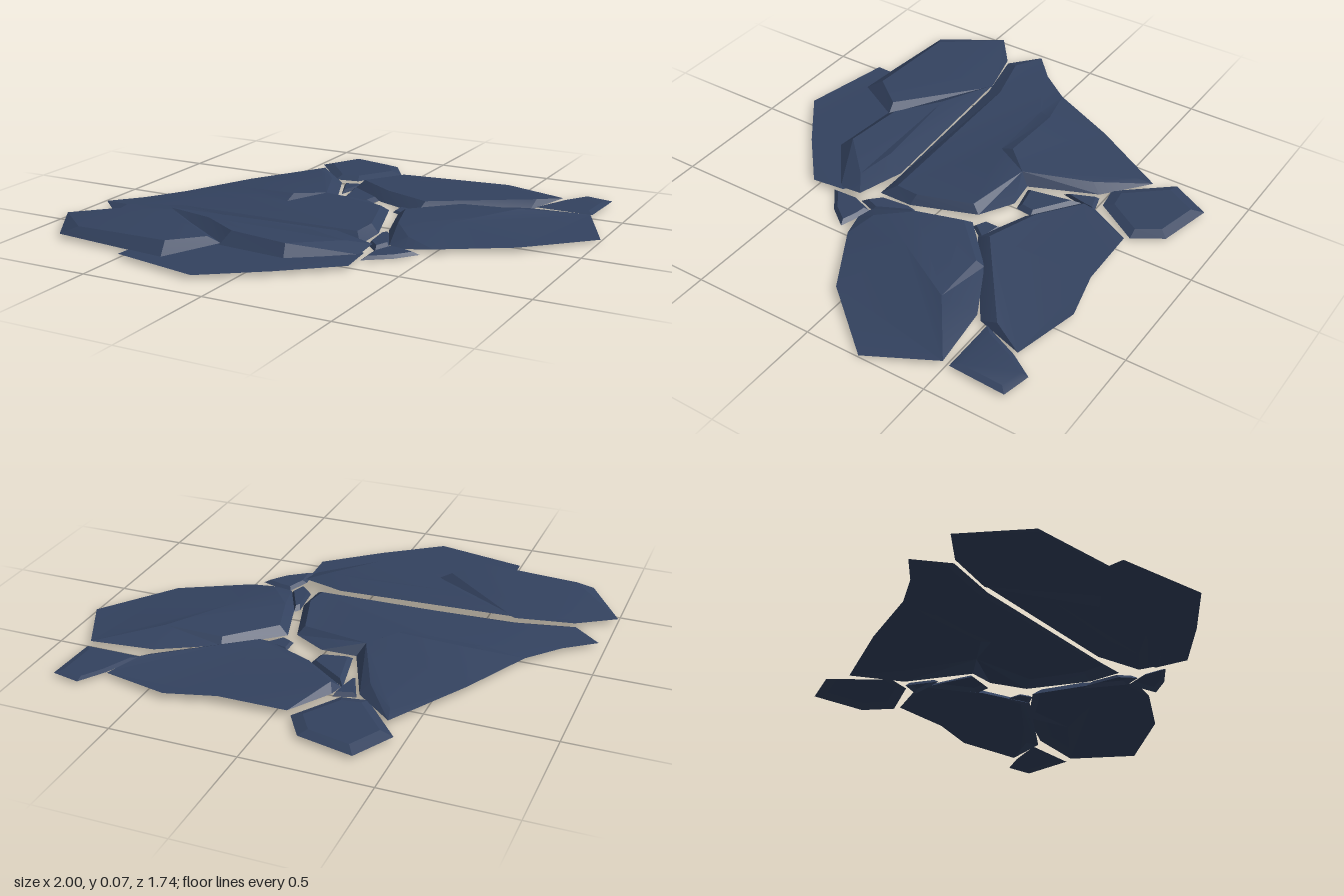
import * as THREE from 'three';
import { toCreasedNormals } from 'three/addons/utils/BufferGeometryUtils.js';

// Slabs are thin open shells, so both sides show
const slate = new THREE.MeshStandardMaterial({ color: 0x33425f, side: THREE.DoubleSide });
slate.name = 'slateBlue';

// A stone slab: rim points (clockwise from above), inner crown points, facets as point indices
function slab(name, rim, crown, facets) {
  const points = [...rim, ...crown], index = [];
  for (const facet of facets) {
    const flat = facet.map(i => new THREE.Vector2(points[i][0], points[i][2]));
    for (const tri of THREE.ShapeUtils.triangulateShape(flat, [])) {
      let [a, b, c] = tri.map(k => facet[k]);
      const [p, q, r] = [points[a], points[b], points[c]];
      const ny = (q[2] - p[2]) * (r[0] - p[0]) - (q[0] - p[0]) * (r[2] - p[2]);
      if (ny < 0) [b, c] = [c, b]; // face up
      index.push(a, b, c);
    }
  }
  const g = new THREE.BufferGeometry();
  g.setAttribute('position', new THREE.Float32BufferAttribute(points.flat(), 3));
  g.setIndex(index);
  // Gentle slopes blend, ledges and bevels stay crisp
  const mesh = new THREE.Mesh(toCreasedNormals(g, 0.25), slate);
  mesh.name = name;
  return mesh;
}

// A small chip: outline in x, z with an even bevel around a level top
function chip(name, outline, edgeY, topY, inset = 0.75) {
  const n = outline.length;
  const cx = outline.reduce((s, p) => s + p[0], 0) / n;
  const cz = outline.reduce((s, p) => s + p[1], 0) / n;
  const rim = outline.map(([x, z]) => [x, edgeY, z]);
  const crown = outline.map(([x, z]) => [cx + (x - cx) * inset, topY, cz + (z - cz) * inset]);
  const facets = [crown.map((_, i) => n + i)];
  for (let i = 0; i < n; i++) {
    const j = (i + 1) % n;
    facets.push([i, j, n + j, n + i]);
  }
  return slab(name, rim, crown, facets);
}

export function createModel() {
  const model = new THREE.Group();
  model.name = 'crackedStoneSlabs';

  // Large slab with a stepped ledge
  model.add(slab('leftSlab', [
    [-0.41, 0.024, -0.625], [-0.245, 0.012, -0.475], [-0.13, 0.012, -0.21], [0.005, 0.026, -0.235],
    [0.14, 0.024, -0.155], [0.225, 0.012, 0.11], [0.22, 0.006, 0.255], [0.11, 0.006, 0.255],
    [-0.62, 0.008, 0.29], [-0.855, 0.008, 0.34], [-0.97, 0.012, 0.235], [-0.85, 0.018, 0.13],
    [-0.74, 0.024, -0.01], [-0.6, 0.026, -0.3],
  ], [
    [-0.395, 0.034, -0.56], [-0.27, 0.04, -0.43], [-0.155, 0.055, -0.17], [-0.25, 0.066, -0.065],
    [-0.53, 0.06, -0.07], [-0.25, 0.046, -0.012], [-0.57, 0.042, -0.005], [0.12, 0.05, -0.12],
    [0.19, 0.045, 0.1], [0.18, 0.04, 0.2], [-0.6, 0.04, 0.22], [-0.83, 0.03, 0.285],
  ], [
    [13, 0, 14, 15, 16, 17, 18], [12, 13, 18], [0, 1, 15, 14], [1, 2, 16, 15], [18, 17, 19, 20],
    [12, 18, 20], [17, 16, 19], [12, 20, 19, 16, 21, 22, 23, 24, 25, 10, 11], [16, 2, 3, 4, 21],
    [4, 5, 22, 21], [5, 6, 23, 22], [6, 7, 8, 24, 23], [8, 9, 25, 24], [9, 10, 25],
  ]));

  // Right slab with a low crest
  model.add(slab('rightSlab', [
    [0.61, 0.02, -0.46], [0.87, 0.02, -0.49], [1, 0.008, -0.225], [0.77, 0.02, 0.05],
    [0.5, 0.016, 0.205], [0.395, 0.01, 0.235], [0.325, 0.01, 0.22], [0.245, 0.012, 0.06],
    [0.18, 0.014, -0.155], [0.38, 0.022, -0.34],
  ], [
    [0.63, 0.055, -0.32], [0.47, 0.05, -0.05], [0.38, 0.038, 0.17],
    [0.275, 0.045, 0.04], [0.22, 0.045, -0.14], [0.39, 0.045, -0.31],
  ], [
    [0, 1, 10], [1, 2, 3, 4, 11, 10], [4, 5, 12, 11], [5, 6, 12], [6, 7, 13, 12],
    [7, 8, 14, 13], [8, 9, 15, 14], [9, 0, 10, 15], [10, 11, 12, 13, 14, 15],
  ]));

  // Back slab with a sloping front face
  model.add(slab('backSlab', [
    [-0.05, 0.022, -0.69], [0.22, 0.028, -0.7], [0.42, 0.022, -0.745], [0.69, 0.016, -0.68],
    [0.62, 0.008, -0.48], [0.235, 0.008, -0.215], [0.03, 0.008, -0.3], [-0.16, 0.008, -0.44],
    [-0.15, 0.014, -0.51],
  ], [
    [0.62, 0.035, -0.55], [0.245, 0.045, -0.275], [0.04, 0.045, -0.35], [-0.13, 0.04, -0.47],
  ], [
    [0, 1, 2, 3, 9, 10, 11, 12, 8], [3, 4, 9], [4, 5, 10, 9], [5, 6, 11, 10], [6, 7, 12, 11], [7, 8, 12],
  ]));

  // Three overlapping slabs along the front
  model.add(slab('frontLeftSlab', [
    [-1, 0.016, 0.455], [-0.85, 0.024, 0.34], [-0.62, 0.036, 0.275], [-0.22, 0.026, 0.535],
    [-0.345, 0.014, 0.745], [-0.49, 0.014, 0.735], [-0.845, 0.016, 0.7],
  ], [
    [-0.27, 0.05, 0.55], [-0.37, 0.055, 0.68], [-0.78, 0.046, 0.665], [-0.62, 0.05, 0.36],
  ], [
    [0, 1, 2, 10, 9], [10, 7, 8, 9], [2, 3, 7, 10], [3, 4, 8, 7], [4, 5, 6, 9, 8], [6, 0, 9],
  ]));
  model.add(slab('frontMiddleSlab', [
    [-0.62, 0.042, 0.275], [0.11, 0.042, 0.235], [0.295, 0.034, 0.3],
    [0.29, 0.02, 0.4], [0.07, 0.022, 0.57], [-0.22, 0.022, 0.545],
  ], [
    [-0.2, 0.066, 0.49], [0.05, 0.062, 0.52], [0.21, 0.052, 0.36], [0.05, 0.063, 0.33], [-0.38, 0.06, 0.37],
  ], [
    [10, 9, 8, 7, 6], [0, 1, 9, 10], [1, 2, 8, 9], [2, 3, 8], [3, 4, 7, 8], [4, 5, 6, 7], [5, 0, 10, 6],
  ]));
  model.add(slab('frontLowerSlab', [
    [-0.5, 0.013, 0.72], [-0.27, 0.016, 0.52], [0.05, 0.022, 0.51], [0.27, 0.022, 0.36], [0.3, 0.022, 0.38],
    [0.31, 0.016, 0.52], [0.1, 0.016, 0.7], [-0.13, 0.016, 0.87], [-0.5, 0.016, 0.795],
  ], [], [[0, 1, 2, 3, 4, 5, 6, 7, 8]]));

  // Outlying stones and chips in the cracks
  model.add(chip('backLeftStone', [[-0.37, -0.87], [-0.145, -0.82], [-0.07, -0.705],
    [-0.19, -0.52], [-0.29, -0.505], [-0.46, -0.705]], 0.014, 0.028));
  model.add(chip('backRightStone', [[0.765, -0.77], [0.88, -0.745], [0.87, -0.515],
    [0.63, -0.515], [0.7, -0.67]], 0.011, 0.018));
  model.add(chip('middleChip', [[-0.165, -0.44], [0.015, -0.315], [0.005, -0.245],
    [-0.12, -0.22]], 0.006, 0.022));
  model.add(chip('backCrackChip', [[-0.235, -0.48], [-0.15, -0.505], [-0.16, -0.44],
    [-0.18, -0.35]], 0, 0.014));
  model.add(chip('innerChip', [[0.14, -0.26], [0.25, -0.24], [0.19, -0.165], [0.14, -0.19]], 0.006, 0.015));
  model.add(chip('frontCrackChip', [[0.245, 0.06], [0.325, 0.22], [0.3, 0.29],
    [0.245, 0.235], [0.23, 0.085]], 0.002, 0.018));
  model.add(chip('frontRightChip', [[0.335, 0.225], [0.395, 0.235], [0.47, 0.26],
    [0.405, 0.345], [0.305, 0.42], [0.3, 0.32]], 0.006, 0.018));

  return model;
}
